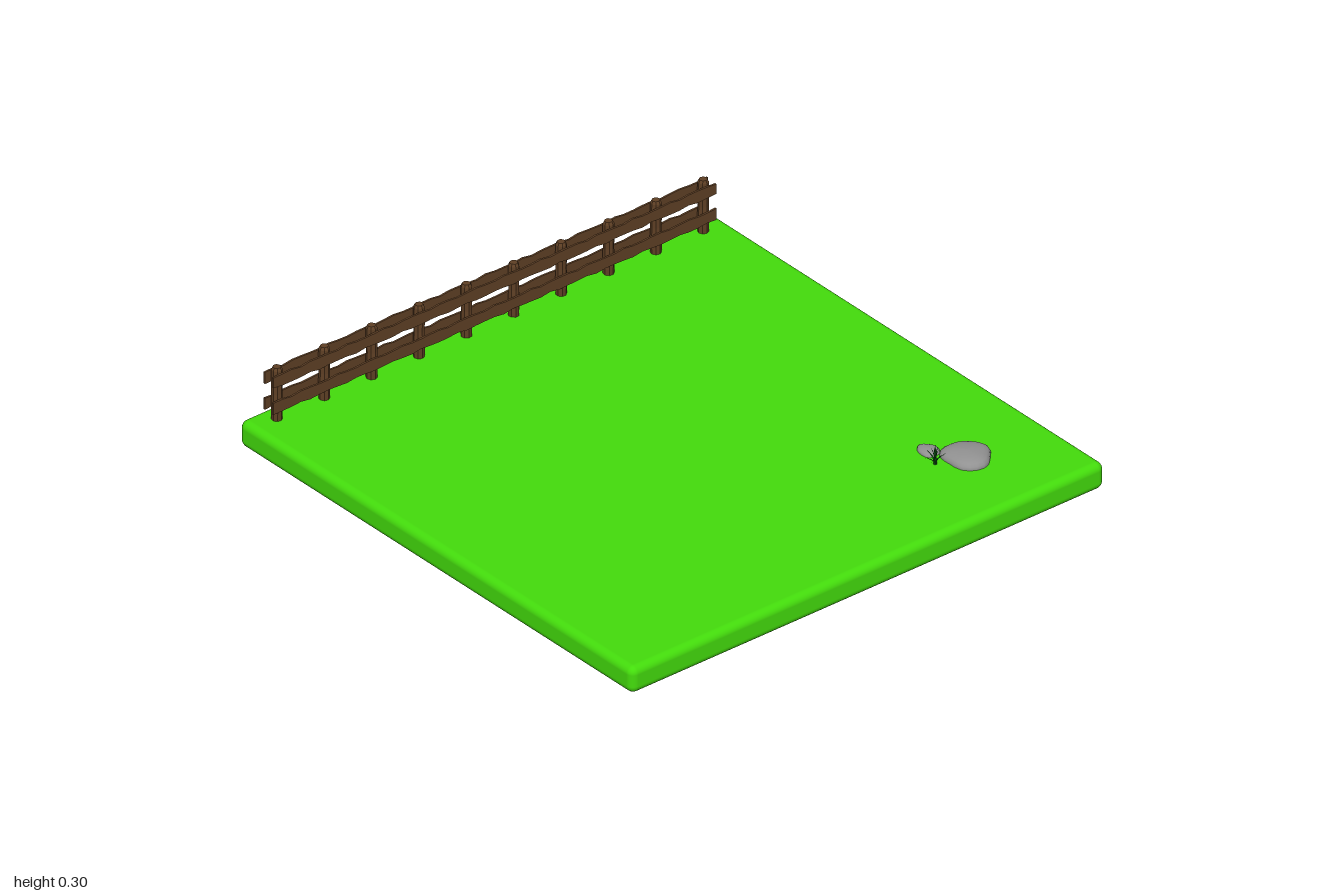
import * as THREE from 'three';
import { RoundedBoxGeometry } from 'three/addons/geometries/RoundedBoxGeometry.js';

const mat = (color, extra = {}) => new THREE.MeshStandardMaterial({ color, ...extra });
const GROUND = 0.1;

function add(parent, name, geometry, material, x = 0, y = 0, z = 0) {
  const mesh = new THREE.Mesh(geometry, material);
  mesh.name = name;
  mesh.position.set(x, y, z);
  parent.add(mesh);
  return mesh;
}

// Thin plank along z with slightly chipped top and bottom edges
function plankGeometry(length, height, thickness, phase) {
  const g = new THREE.BoxGeometry(thickness, height, length, 1, 1, 48);
  const p = g.attributes.position;
  for (let i = 0; i < p.count; i++) {
    const z = p.getZ(i), side = Math.sign(p.getY(i));
    const chip = 0.0025 * Math.sin(z * 47 + phase + side) + 0.0015 * Math.sin(z * 83 + phase * 2);
    p.setY(i, p.getY(i) + chip);
  }
  g.computeVertexNormals();
  return g;
}

// Rounded post, slightly uneven along its height
function postGeometry(height, seed) {
  const profile = [[0, 0], [0.019, 0], [0.02, 0.3], [0.0185, 0.5], [0.02, 0.75], [0.019, 0.95], [0.014, 1], [0, 1]]
    .map(([r, t]) => new THREE.Vector2(r, t * height));
  const g = new THREE.LatheGeometry(profile, 8);
  g.rotateY(seed);
  return g;
}

// Low boulder: a squashed ball whose outline bulges by angle
function rockGeometry(rx, ry, rz, lean) {
  const g = new THREE.SphereGeometry(1, 20, 12);
  const p = g.attributes.position;
  for (let i = 0; i < p.count; i++) {
    const x = p.getX(i), y = p.getY(i), z = p.getZ(i);
    const a = Math.atan2(z, x);
    const k = 1 + 0.07 * Math.cos(3 * a - lean) + 0.03 * Math.cos(5 * a + lean);
    p.setXYZ(i, x * k * rx, Math.sign(y) * Math.pow(Math.abs(y), 0.8) * ry * (1 + 0.1 * x), z * k * rz);
  }
  g.computeVertexNormals();
  return g;
}

// Curved, tapering grass blade growing outwards along +x
function bladeGeometry(reach, height, width) {
  const steps = 4, pos = [], index = [];
  for (let i = 0; i <= steps; i++) {
    const t = i / steps, w = width * (1 - t) * 0.5 + 0.0004;
    const x = reach * t * t, y = height * (1.25 * t - 0.25 * t * t);
    pos.push(x, y, -w, x, y, w);
    if (i < steps) {
      const a = i * 2;
      index.push(a, a + 1, a + 2, a + 1, a + 3, a + 2);
    }
  }
  const g = new THREE.BufferGeometry();
  g.setAttribute('position', new THREE.Float32BufferAttribute(pos, 3));
  g.setIndex(index);
  g.computeVertexNormals();
  return g;
}

export function createModel() {
  const model = new THREE.Group();
  model.name = 'meadowTile';

  // Ground slab
  add(model, 'ground', new RoundedBoxGeometry(2, GROUND, 2, 4, 0.028), mat(0x44dd0c), 0, GROUND / 2, 0);

  // Fence: ten posts between two pairs of rails
  const fence = new THREE.Group();
  fence.name = 'fence';
  fence.position.set(-0.925, GROUND, 0);
  const wood = mat(0x5f4025, { flatShading: true });
  for (let i = 0; i < 10; i++) {
    add(fence, 'fencePost', postGeometry(0.2, i * 0.9), wood, 0, 0, -0.9 + i * 0.2);
  }
  [0.062, 0.16].forEach((y, row) => {
    for (const side of [-1, 1]) {
      add(fence, 'fenceRail', plankGeometry(1.87, 0.042, 0.007, row * 2 + side), wood, side * 0.0215, y, 0);
    }
  });
  model.add(fence);

  // Rocks
  const stone = mat(0x929292);
  add(model, 'largeRock', rockGeometry(0.088, 0.03, 0.08, 1.2), stone, 0.686, GROUND, -0.675);
  add(model, 'smallRock', rockGeometry(0.042, 0.015, 0.034, 2.6), stone, 0.58, GROUND, -0.6);

  // Grass tuft
  const tuft = new THREE.Group();
  tuft.name = 'grassTuft';
  tuft.position.set(0.655, GROUND, -0.567);
  const leaf = mat(0x0f5a16, { side: THREE.DoubleSide });
  for (let i = 0; i < 14; i++) {
    const inner = i % 3 === 0;
    const g = bladeGeometry(inner ? 0.014 : 0.036 + 0.008 * Math.sin(i * 2.3),
      inner ? 0.058 : 0.034 + 0.012 * Math.sin(i * 1.7), 0.012);
    add(tuft, 'grassBlade', g, leaf).rotation.y = i * 2.4;
  }
  model.add(tuft);

  return model;
}
